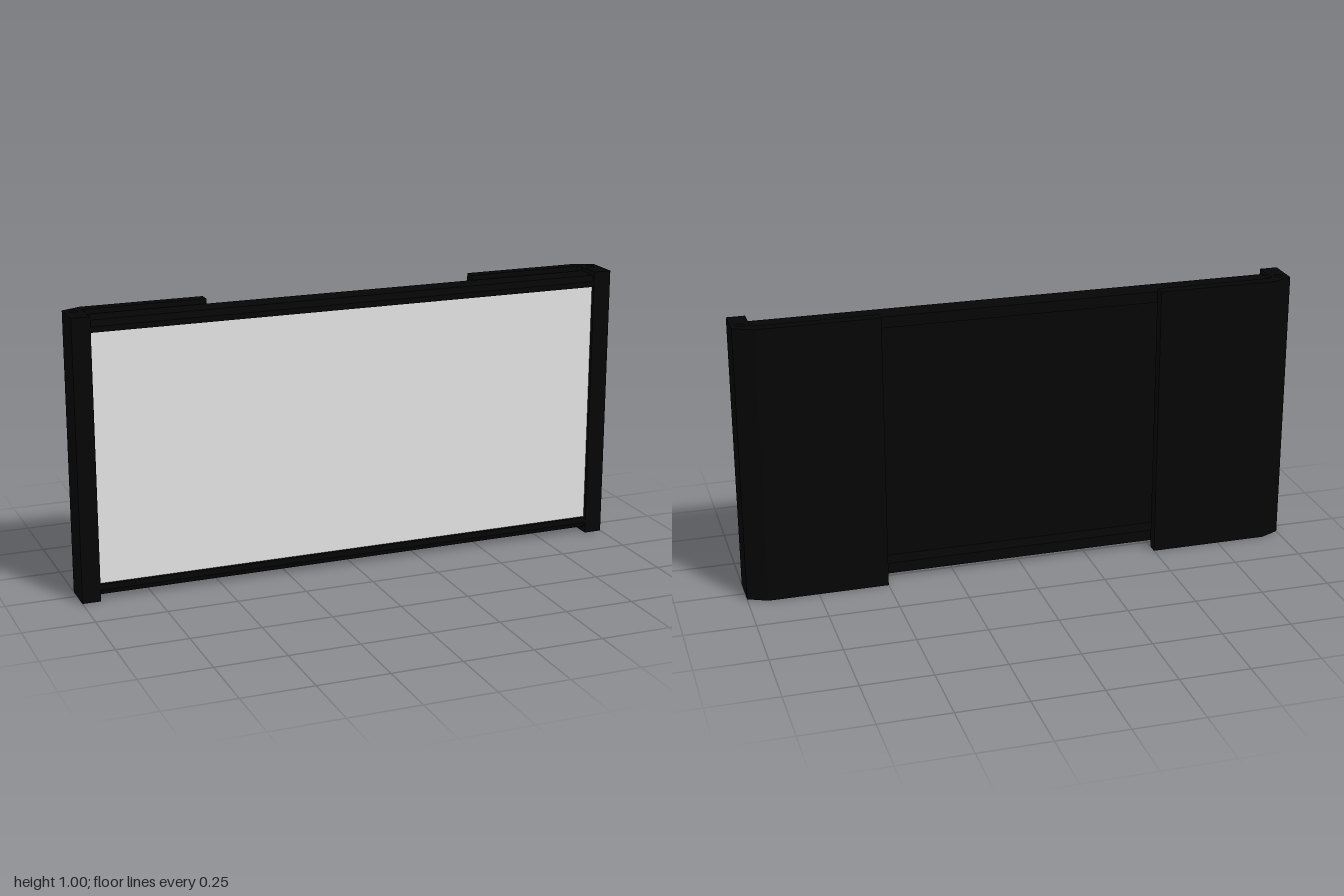
import * as THREE from 'three';

export function createModel() {
  const model = new THREE.Group();
  const black = new THREE.MeshStandardMaterial({ color: 0x050505 });
  black.name = 'black plastic';
  const grey = new THREE.MeshStandardMaterial({ color: 0xe5e5e5 });
  grey.name = 'light grey screen';

  const add = (name, geometry, material) => {
    const mesh = new THREE.Mesh(geometry, material);
    mesh.name = name;
    model.add(mesh);
    return mesh;
  };
  const shapeOf = (points) => new THREE.Shape(points.map(([a, b]) => new THREE.Vector2(a, b)));

  // Panel frame: (z, y) section with bevelled rails joined by a thin backing, open at the back
  const section = [
    [0.056, 0.06], [0.056, 0.945], [0.075, 0.945], [0.075, 0.965], [0.061, 0.985],
    [-0.025, 0.985], [-0.025, 0.945], [0.04, 0.945], [0.04, 0.06], [-0.025, 0.06],
    [-0.025, 0.02], [0.061, 0.02], [0.075, 0.04], [0.075, 0.06],
  ];
  const body = new THREE.ExtrudeGeometry(shapeOf(section.map(([z, y]) => [-z, y])), {
    depth: 1.88, bevelEnabled: false,
  });
  body.translate(0, 0, -0.94).rotateY(Math.PI / 2);
  add('panelFrame', body, black);

  // Screen: thin plate set just behind the front rails
  add('screen', new THREE.BoxGeometry(1.87, 0.885, 0.006), grey).position.set(0, 0.5025, 0.059);

  // Side brackets: (x, z) outline wrapping round the back, with a pin hole
  const outline = [
    [0.935, 0.077], [1, 0.077], [1, -0.045], [0.93, -0.077], [0.5, -0.077],
    [0.5, -0.036], [0.925, -0.036], [0.94, -0.025], [0.935, -0.015],
  ];
  for (const [name, side] of [['leftBracket', 1], ['rightBracket', -1]]) {
    const shape = shapeOf(outline.map(([x, z]) => [side * x, -z]));
    // The hole winds against the outline so its wall faces inward
    const hole = new THREE.Path();
    hole.absarc(side * 0.967, 0.017, 0.015, 0, side * Math.PI * -2, side > 0);
    shape.holes.push(hole);
    const bracket = new THREE.ExtrudeGeometry(shape, { depth: 1, bevelEnabled: false, curveSegments: 16 });
    add(name, bracket.rotateX(-Math.PI / 2), black);
  }

  return model;
}
